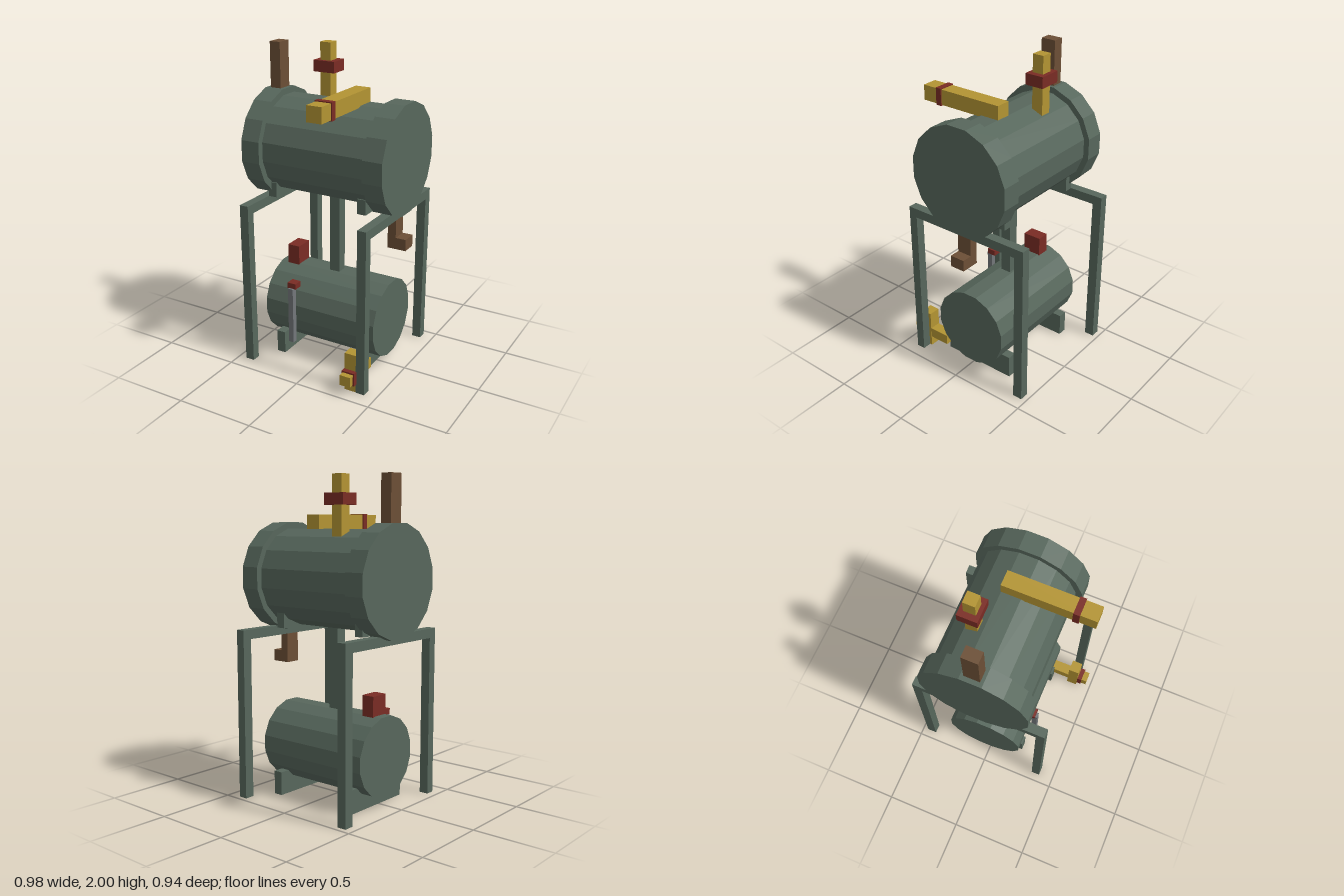
import * as THREE from 'three';

const paint = (name, color) => {
  const m = new THREE.MeshStandardMaterial({ color, flatShading: true });
  m.name = name;
  return m;
};

export function createModel() {
  const green = paint('greyGreenPaint', 0x57675c);
  const yellow = paint('yellowPaint', 0xb39433);
  const red = paint('redPaint', 0x7a2c24);
  const brown = paint('brownPipe', 0x6c4f36);
  const grey = paint('gaugeGrey', 0x73777a);

  const model = new THREE.Group();
  model.name = 'stackedTanks';

  // Box given by its extents on each axis
  function box(name, mat, [x0, x1], [y0, y1], [z0, z1]) {
    const mesh = new THREE.Mesh(new THREE.BoxGeometry(x1 - x0, y1 - y0, z1 - z0), mat);
    mesh.position.set((x0 + x1) / 2, (y0 + y1) / 2, (z0 + z1) / 2);
    mesh.name = name;
    model.add(mesh);
  }

  // Sixteen-sided drum lying along x, with flats at top, bottom and sides
  function drum(name, [x0, x1], y, z, apothem) {
    const r = apothem / Math.cos(Math.PI / 16);
    const geo = new THREE.CylinderGeometry(r, r, x1 - x0, 16, 1, false, Math.PI / 16);
    geo.rotateZ(Math.PI / 2);
    const mesh = new THREE.Mesh(geo, green);
    mesh.position.set((x0 + x1) / 2, y, z);
    mesh.name = name;
    model.add(mesh);
  }

  // Upper tank with wide end bands
  drum('upperTank', [-0.40, 0.38], 1.378, -0.034, 0.30);
  drum('upperEndBandRight', [-0.489, -0.364], 1.378, -0.032, 0.338);
  drum('upperEndBandLeft', [0.338, 0.465], 1.378, -0.032, 0.338);

  // Lower tank and the column joining both tanks
  drum('lowerTank', [-0.402, 0.382], 0.318, -0.03, 0.248);
  box('tankColumn', green, [-0.048, 0.021], [0.5, 1.12], [-0.066, 0.004]);

  // Side frames: two legs and a cross beam each
  for (const x of [[-0.449, -0.39], [0.364, 0.422]]) {
    box('frontLeg', green, x, [0, 1.005], [0.347, 0.403]);
    box('backLeg', green, x, [0, 1.005], [-0.467, -0.405]);
    box('frameBeam', green, x, [1.005, 1.064], [-0.467, 0.403]);
  }

  // Saddles under the tanks
  for (const x of [[-0.385, -0.329], [0.24, 0.299]])
    box('upperSaddle', green, x, [1.066, 1.16], [-0.24, 0.18]);
  for (const x of [[-0.324, -0.265], [0.24, 0.299]])
    box('lowerSaddle', green, x, [0, 0.149], [-0.278, 0.22]);

  // Vent stack and bent drain pipe
  box('ventStack', brown, [-0.461, -0.389], [1.66, 2], [-0.081, 0.016]);
  box('drainPipe', brown, [0.366, 0.42], [0.817, 1.08], [-0.081, 0.016]);
  box('drainPipeFoot', brown, [0.42, 0.487], [0.817, 0.89], [-0.081, 0.016]);

  // Upright inlet with flange
  box('inletPipe', yellow, [-0.186, -0.114], [1.62, 2], [-0.194, -0.121]);
  box('inletFlange', red, [-0.222, -0.076], [1.82, 1.89], [-0.22, -0.098]);

  // Long outlet across the top with flange
  box('topOutletPipe', yellow, [0.077, 0.175], [1.668, 1.764], [-0.095, 0.468]);
  box('topOutletFlange', red, [0.07, 0.181], [1.662, 1.77], [0.33, 0.368]);

  // Low outlet: upright, cross pipe and flange
  box('lowOutletUpright', yellow, [0.286, 0.363], [0, 0.252], [0.33, 0.4]);
  box('lowOutletPipe', yellow, [0.29, 0.36], [0.068, 0.136], [0.195, 0.468]);
  box('lowOutletFlange', red, [0.283, 0.369], [0.06, 0.146], [0.402, 0.432]);

  // Hatch on the lower tank and the level gauge
  box('hatch', red, [-0.348, -0.265], [0.53, 0.69], [-0.09, 0.032]);
  box('gaugeTube', grey, [-0.2, -0.165], [0.128, 0.505], [0.234, 0.27]);
  box('gaugeCap', red, [-0.211, -0.152], [0.503, 0.54], [0.198, 0.257]);

  return model;
}
